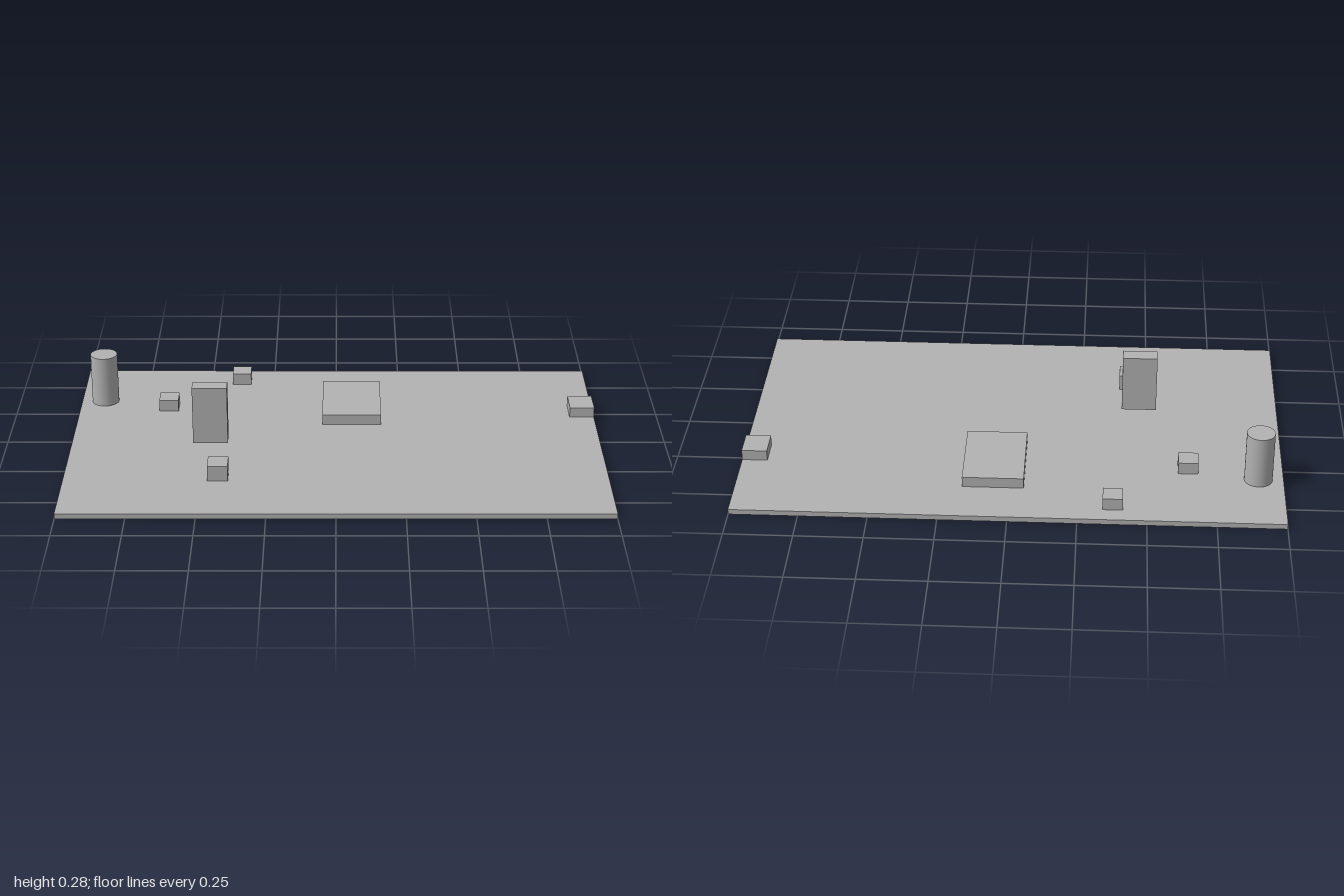
import * as THREE from 'three';

export function createModel() {
  const group = new THREE.Group();
  const grey = new THREE.MeshStandardMaterial({ color: 0xb2b2b2 });
  grey.name = 'plain grey';

  const add = (name, geometry, x, y, z) => {
    const mesh = new THREE.Mesh(geometry, grey);
    mesh.name = name;
    mesh.position.set(x, y, z);
    group.add(mesh);
  };

  // Box given by its centre in x and z, its footprint and its bottom and top
  const box = (name, x, z, width, depth, bottom, top) =>
    add(name, new THREE.BoxGeometry(width, top - bottom, depth), x, (bottom + top) / 2, z);

  const boardTop = 0.02;

  // Circuit board
  box('board', 0, 0, 2, 1.25, 0, boardTop);

  // Main chip and edge connector
  box('mainChip', 0.06, -0.275, 0.225, 0.32, boardTop, 0.06);
  box('edgeConnector', 0.953, -0.237, 0.094, 0.11, boardTop, 0.06);

  // Small components
  box('smallComponentBack', -0.377, -0.525, 0.073, 0.073, boardTop, 0.066);
  box('smallComponentMiddle', -0.652, -0.274, 0.074, 0.074, boardTop, 0.066);
  box('smallComponentFront', -0.433, 0.327, 0.075, 0.08, boardTop, 0.08);

  // Upright component, raised clear of the board
  box('uprightComponent', -0.47, 0.1, 0.13, 0.058, 0.06, 0.284);

  // Capacitor
  const height = 0.2;
  add('capacitor', new THREE.CylinderGeometry(0.052, 0.052, height, 32),
    -0.908, boardTop + height / 2, -0.335);

  return group;
}
